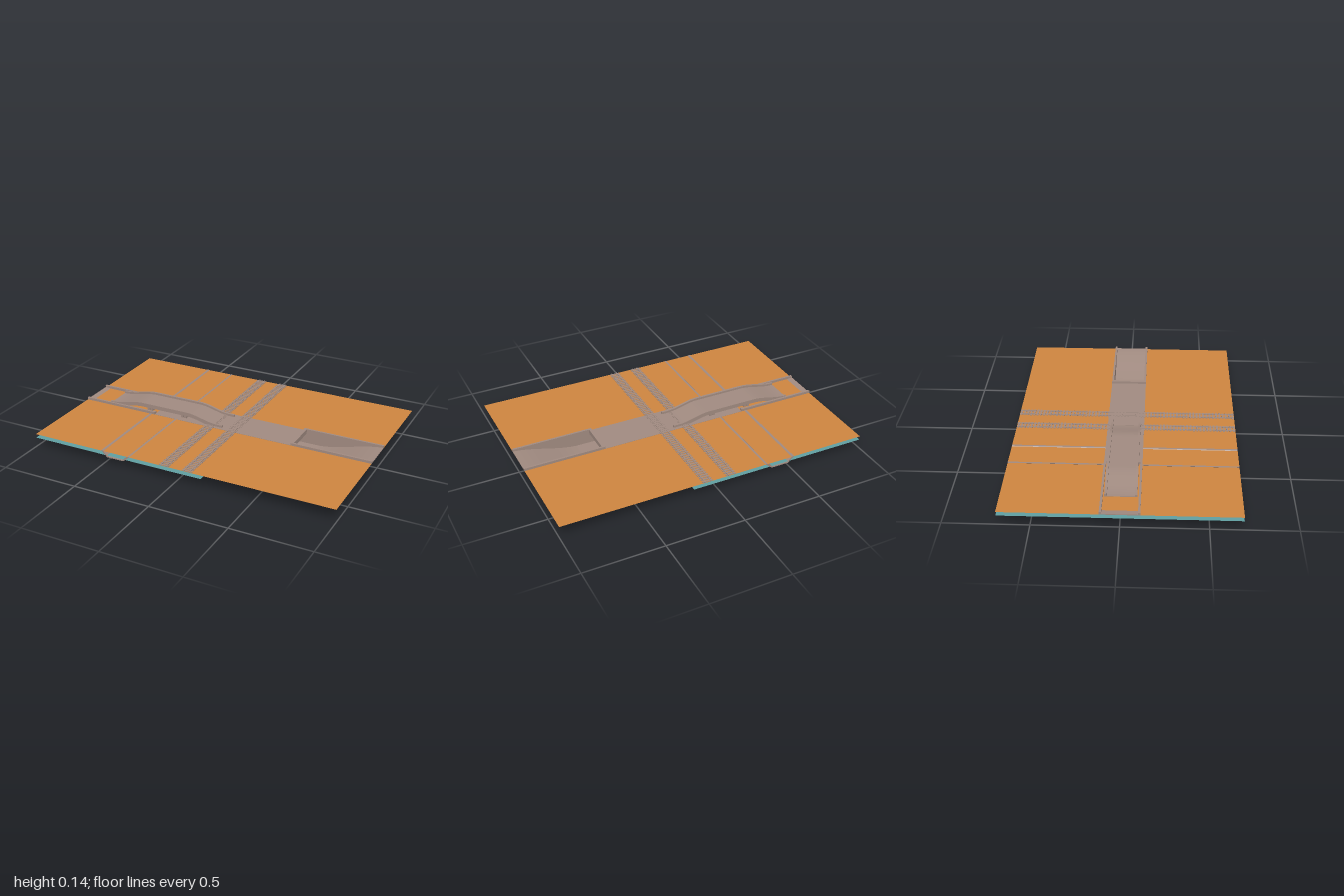
import * as THREE from 'three';

const mat = (name, color, side = THREE.FrontSide) => {
  const m = new THREE.MeshStandardMaterial({ color, side });
  m.name = name;
  return m;
};

export function createModel() {
  const root = new THREE.Group();
  const earth = mat('earth orange', 0xcd853f, THREE.DoubleSide);
  const teal = mat('ground water teal', 0x5f9ea0, THREE.DoubleSide);
  const concrete = mat('concrete brown', 0xa08a80);

  const add = (name, geo, material, x = 0, y = 0, z = 0) => {
    const m = new THREE.Mesh(geo, material);
    m.name = name;
    m.position.set(x, y, z);
    root.add(m);
    return m;
  };
  const box = (name, x0, x1, y0, y1, z0, z1) =>
    add(name, new THREE.BoxGeometry(x1 - x0, y1 - y0, z1 - z0), concrete,
      (x0 + x1) / 2, (y0 + y1) / 2, (z0 + z1) / 2);
  // side profile in x/y, extruded from z0 to z1
  const profile = (name, pts, z0, z1) => {
    const shape = new THREE.Shape(pts.map(p => new THREE.Vector2(p[0], p[1])));
    return add(name, new THREE.ExtrudeGeometry(shape, { depth: z1 - z0, bevelEnabled: false }), concrete, 0, 0, z0);
  };
  const rect = (path, x0, x1, z) => {
    path.moveTo(x0, -z); path.lineTo(x1, -z); path.lineTo(x1, z); path.lineTo(x0, z); path.closePath();
    return path;
  };
  // flat horizontal sheet with a rectangular opening
  const sheet = (name, x0, x1, y, hole, material) => {
    const s = rect(new THREE.Shape(), x0, x1, 0.69);
    s.holes.push(rect(new THREE.Path(), ...hole));
    const g = new THREE.ShapeGeometry(s);
    g.rotateX(-Math.PI / 2);
    add(name, g, material, 0, y, 0);
  };
  const ease = t => t * t * (3 - 2 * t);
  const lerp = THREE.MathUtils.lerp;
  const smooth = (x, a, b) => ease(THREE.MathUtils.clamp((x - a) / (b - a), 0, 1));

  // ground layers
  sheet('groundSurface', -1, 1, 0.084, [0.49, 0.999, 0.105], earth);
  sheet('groundWater', -1, 0.165, 0.06, [-0.86, 0.16, 0.105], teal);

  // underpass: ramps down at both ends, straight in the middle
  const rampY = x => {
    const t = THREE.MathUtils.clamp((Math.abs(x) - 0.59) / 0.41, 0, 1);
    return 0.083 * lerp(t, ease(t), 0.7);
  };
  const bottom = [];
  for (let i = 0; i <= 10; i++) bottom.push([-1 + 0.041 * i, rampY(-1 + 0.041 * i)]);
  for (let i = 10; i >= 0; i--) bottom.push([1 - 0.041 * i, rampY(1 - 0.041 * i)]);
  const wall = [...bottom, [1, 0.1], [0.48, 0.1], [0.48, 0.0855], [-0.48, 0.0855], [-0.48, 0.1], [-1, 0.1]];
  const floor = [...bottom, ...bottom.map(([x, y]) => [x, y + 0.005]).reverse()];
  profile('underpassFloor', floor, -0.104, 0.104);
  for (const s of [-1, 1]) {
    profile('underpassWall', wall, s * 0.1085 - 0.0065, s * 0.1085 + 0.0065);
  }
  box('underpassRoof', -0.48, 0.48, 0.076, 0.0855, -0.103, 0.103);
  box('portalHeader', 0.48, 0.498, 0.07, 0.1, -0.103, 0.103);
  for (const s of [-1, 1]) {
    box('portalReturn', -0.498, -0.48, 0.07, 0.1, s * 0.098 - 0.006, s * 0.098 + 0.006);
  }

  // bridge over the channel: curved deck, two parapets and supports
  const bridgeY = x => 0.1 + 0.037 * smooth(x, -0.82, -0.58) * (1 - smooth(x, -0.25, -0.04));
  const bridgeBand = (x0, x1, upper, lower) => {
    const top = [], low = [];
    for (let i = 0; i <= 36; i++) {
      const x = lerp(x0, x1, i / 36);
      top.push([x, bridgeY(x) - upper]);
      low.push([x, bridgeY(x) - lower]);
    }
    return [...low, ...top.reverse()];
  };
  profile('bridgeDeck', bridgeBand(-0.83, -0.06, 0.0135, 0.025), -0.082, 0.082);
  for (const s of [-1, 1]) {
    profile('bridgeParapet', bridgeBand(-0.83, 0, 0, 0.026), s * 0.087 - 0.007, s * 0.087 + 0.007);
    for (const x of [-0.538, -0.287]) {
      for (const d of [-0.011, 0.011]) {
        box('bridgeSupport', x + d - 0.008, x + d + 0.008, 0.08, 0.115, s * 0.06 - 0.015, s * 0.06 + 0.015);
      }
    }
  }

  // buried channel with its rims showing at the surface
  const channel = [
    [-0.515, 0.0865], [-0.475, 0.048], [-0.36, 0.048], [-0.315, 0.0865],
    [-0.328, 0.0865], [-0.366, 0.055], [-0.469, 0.055], [-0.502, 0.0865],
  ];
  profile('channelFront', channel, 0.114, 0.69);
  profile('channelBack', channel, -0.69, -0.114);

  // two railway tracks
  const count = 66;
  for (const x of [-0.082, 0.073]) {
    for (const s of [-1, 1]) {
      box('rail', x + s * 0.019 - 0.003, x + s * 0.019 + 0.003, 0.084, 0.0895, -0.69, 0.69);
    }
    const sleepers = new THREE.InstancedMesh(new THREE.BoxGeometry(0.066, 0.004, 0.011), concrete, 0);
    for (let i = 0; i < count; i++) {
      const z = -0.68 + (1.36 * i) / (count - 1);
      add('sleeper', sleepers.geometry, concrete, x, 0.0857, z);
    }
  }
  return root;
}
